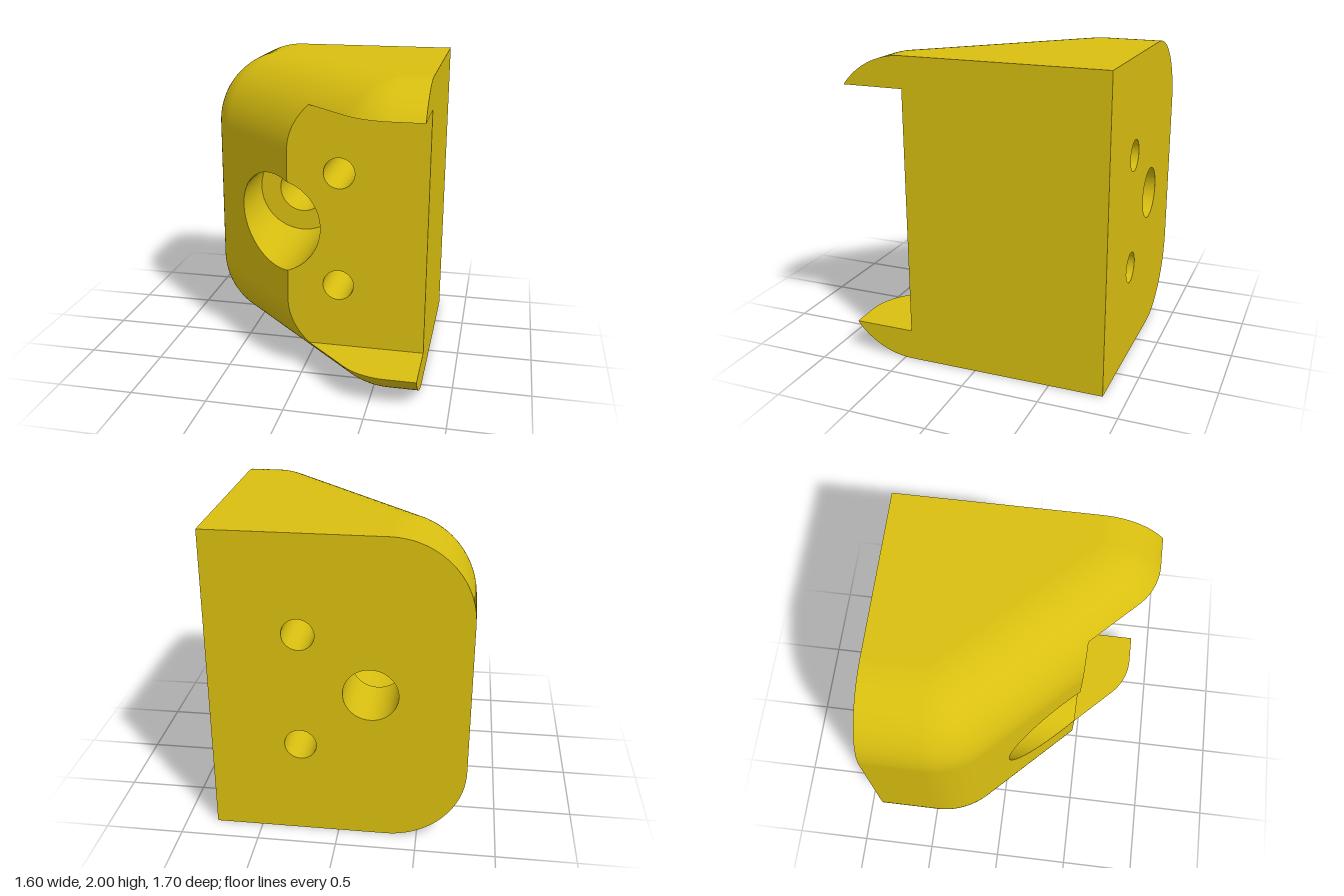
import * as THREE from 'three';

const R = 0.5;                        // edge rounding radius
const A = { x: -0.3, z: -0.457 };     // centre of the rear side rounding
const B = { x: 0.607, z: 0.45 };      // centre of the front rounding
const BACK = -0.85, SIDE = 0.8, POCKET = 0.45, FLOOR = -0.42;
const BORE = { x: -0.2, y: 1, r: 0.315 };
const LIP = Math.asin(0.6);           // rounding angle where the pocket starts
const DIAG = Math.PI * 0.75;

const range = (a, b, n) => Array.from({ length: n + 1 }, (_, i) => a + (b - a) * i / n);
const arc = (cx, cy, r, a, b, n) =>
  range(a, b, n).map(t => [cx + r * Math.cos(t), cy + r * Math.sin(t)]);

// Outline stations: position in x, z for a given rounding radius, plus normal angle
const back = { phi: Math.PI, at: r => [A.x - r, BACK] };
const around = (c, phi) => ({ phi, at: r => [c.x + r * Math.cos(phi), c.z + r * Math.sin(phi)] });
const cross = { phi: DIAG, at: r => [B.x - Math.SQRT2 * r, POCKET] };
const end = { phi: Math.PI / 2, at: r => [SIDE, B.z + r] };
const rearArc = range(Math.PI, DIAG, 16).map(p => around(A, p));
const frontArc = range(DIAG, Math.PI / 2, 16).map(p => around(B, p));

// Rows of the rounded top and bottom edges, listed upwards
const upper = (a, b, n) => range(a, b, n).map(t => ({ a: t, y: 1.5 + R * Math.sin(t) }));
const lower = (a, b, n) => range(-b, -a, n).map(t => ({ a: t, y: 0.5 + R * Math.sin(t) }));

export function createModel() {
  const group = new THREE.Group();
  group.name = 'mountingBlock';
  const yellow = new THREE.MeshStandardMaterial({ color: 0xd9bf10 });
  yellow.name = 'yellow';

  function add(name, geometry) {
    const mesh = new THREE.Mesh(geometry, yellow);
    mesh.name = name;
    group.add(mesh);
  }

  // Smooth surface from rows of [x, y, z, nx, ny, nz]
  function grid(name, rows) {
    const pos = [], nor = [], idx = [], w = rows[0].length;
    rows.forEach((row, i) => row.forEach((v, j) => {
      pos.push(v[0], v[1], v[2]);
      nor.push(v[3], v[4], v[5]);
      if (i && j) {
        const d = i * w + j, c = d - 1, b = d - w, a = b - 1;
        idx.push(a, b, c, b, d, c);
      }
    }));
    const g = new THREE.BufferGeometry();
    g.setAttribute('position', new THREE.Float32BufferAttribute(pos, 3));
    g.setAttribute('normal', new THREE.Float32BufferAttribute(nor, 3));
    g.setIndex(idx);
    add(name, g);
  }

  // Outer skin patch
  function skin(name, rows, stations) {
    grid(name, rows.map(({ a, y }) => stations.map(s => {
      const c = Math.cos(a), [x, z] = s.at(R * c);
      return [x, y, z, Math.cos(s.phi) * c, Math.sin(a), Math.sin(s.phi) * c];
    })));
  }

  // Flat face: 2D outline with holes, mapped into space
  function face(name, points, holes, map, flip) {
    const vec = list => list.map(p => new THREE.Vector2(p[0], p[1]));
    const shape = new THREE.Shape(vec(points));
    holes.forEach(h => shape.holes.push(new THREE.Path(vec(h))));
    const g = new THREE.ShapeGeometry(shape);
    const p = g.attributes.position;
    for (let i = 0; i < p.count; i++) p.setXYZ(i, ...map(p.getX(i), p.getY(i)));
    if (flip) g.index.array.reverse();
    g.computeVertexNormals();
    add(name, g);
  }

  // Inward-facing wall of a hole running along z
  function wall(name, x, y, r, z0, top) {
    const angles = range(Math.PI * 2, 0, 96);
    grid(name, [0, 1].map(k => angles.map(t => {
      const c = Math.cos(t), s = Math.sin(t), px = x + r * c;
      return [px, y + r * s, k ? top(px) : z0, -c, -s, 0];
    })));
  }

  const circle = (x, y, r) => arc(x, y, r, 0, Math.PI * 2, 64).slice(0, -1);
  const screwHoles = [0.626, 1.374].map(y => ({ x: 0.235, y, r: 0.1 }));
  const small = screwHoles.map(h => circle(h.x, h.y, h.r));
  const through = circle(BORE.x, BORE.y, 0.17);

  // Rounded outer side, slope edges and front lips
  const low = lower(0, Math.PI / 2, 24), high = upper(0, Math.PI / 2, 24);
  skin('roundedSide', [...low, ...high], [back, ...rearArc]);
  const slope = [around(A, DIAG), cross];
  const lip = [cross, ...frontArc, end];
  skin('lowerSlopeEdge', low, slope);
  skin('upperSlopeEdge', high, slope);
  skin('lowerLip', lower(LIP, Math.PI / 2, 16), lip);
  skin('upperLip', upper(LIP, Math.PI / 2, 16), lip);

  // Sloped face, notched by the counterbore
  const edgeX = B.x - Math.SQRT2 * R;
  const t0 = Math.acos((edgeX - BORE.x) / BORE.r);
  const slopeX = A.x + R * Math.cos(DIAG);
  const slopeZ = x => x - edgeX + POCKET;
  face('slopedFace', [
    [slopeX, 0.5], [edgeX, 0.5],
    ...arc(BORE.x, BORE.y, BORE.r, -t0, t0 - Math.PI * 2, 64),
    [edgeX, 1.5], [slopeX, 1.5],
  ], [], (x, y) => [x, y, slopeZ(x)]);

  // Pocket floor
  const edge = rows => rows.map(({ a, y }) => [cross.at(R * Math.cos(a))[0], y]);
  face('pocketFace', [
    [SIDE, 0.2], [SIDE, 1.8],
    ...edge(upper(0, LIP, 12)).reverse(),
    ...arc(BORE.x, BORE.y, BORE.r, t0, -t0, 48),
    ...edge(lower(0, LIP, 12)).reverse(),
  ], small, (x, y) => [x, y, POCKET]);

  // Inner faces of the lips
  const lipOutline = [...lip.map(s => s.at(0.4)), [SIDE, POCKET]];
  face('upperLipInside', lipOutline, [], (x, z) => [x, 1.8, z], false);
  face('lowerLipInside', lipOutline, [], (x, z) => [x, 0.2, z], true);

  // Top and bottom
  const cap = [[A.x, BACK], [A.x, A.z], [B.x, B.z], [SIDE, B.z], [SIDE, BACK]];
  face('top', cap, [], (x, z) => [x, 2, z], true);
  face('bottom', cap, [], (x, z) => [x, 0, z], false);

  // Flat side with the pocket opening
  face('flatSide', [
    [BACK, 0], ...arc(B.z, 0.5, R, -Math.PI / 2, -LIP, 16),
    [POCKET, 0.2], [POCKET, 1.8],
    ...arc(B.z, 1.5, R, LIP, Math.PI / 2, 16), [BACK, 2],
  ], [], (z, y) => [SIDE, y, z], true);

  // Back
  face('back', [
    [SIDE, 0], [SIDE, 2],
    ...arc(A.x, 1.5, R, Math.PI / 2, Math.PI, 24),
    ...arc(A.x, 0.5, R, Math.PI, Math.PI * 1.5, 24),
  ], [through, ...small], (x, y) => [x, y, BACK], true);

  // Counterbore and holes
  face('counterboreFloor', circle(BORE.x, BORE.y, BORE.r), [through], (x, y) => [x, y, FLOOR]);
  wall('counterboreWall', BORE.x, BORE.y, BORE.r, FLOOR, x => Math.min(slopeZ(x), POCKET));
  wall('boltHole', BORE.x, BORE.y, 0.17, BACK, () => FLOOR);
  screwHoles.forEach(h => wall('screwHole', h.x, h.y, h.r, BACK, () => POCKET));

  return group;
}
